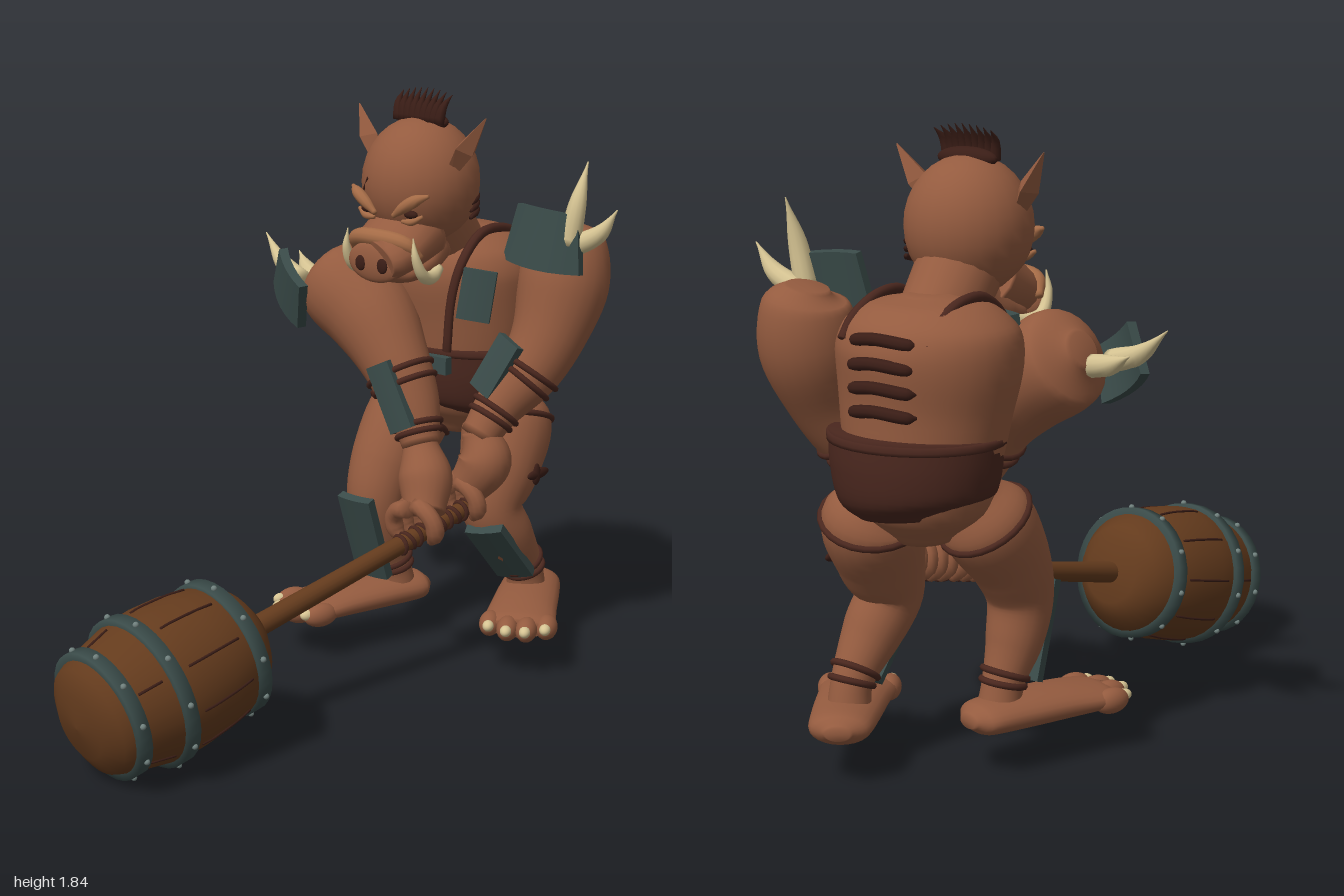
import * as THREE from 'three';

const mat = (name, color) => Object.assign(new THREE.MeshStandardMaterial({ color }), { name });
const M = {
  skin: mat('skin', 0x945b3f), tan: mat('pale skin', 0xa46b46), leather: mat('leather', 0x4a271e),
  dark: mat('scar dark', 0x3a1d16), metal: mat('dull metal', 0x3a4b49), rivet: mat('rivet metal', 0x6f7f7c),
  wood: mat('wood', 0x643b1d), ivory: mat('ivory', 0xd6c493),
};
const V = (x, y, z) => new THREE.Vector3(x, y, z);

// Swept form: points are [x, y, z, sideRadius, otherRadius], splined along their length
function sweep(pts, sides = 20, steps = 24) {
  const curve = new THREE.CatmullRomCurve3(pts.map(p => V(p[0], p[1], p[2])));
  const radius = k => new THREE.SplineCurve(pts.map((p, i) => new THREE.Vector2(i, p[k] ?? p[3])));
  const ra = radius(3), rb = radius(4);
  const span = curve.getPoint(1).sub(curve.getPoint(0)).normalize();
  const ref = Math.abs(span.x) > 0.9 ? V(0, 1, 0) : V(1, 0, 0);
  const at = t => ({ p: curve.getPoint(t), T: curve.getTangent(t), a: Math.max(0.001, ra.getPoint(t).y), b: Math.max(0.001, rb.getPoint(t).y) });
  const pos = [], idx = [];
  for (let i = 0; i <= steps; i++) {
    const { p, T, a, b } = at(i / steps);
    const N = ref.clone().addScaledVector(T, -ref.dot(T)).normalize(), B = T.clone().cross(N);
    for (let j = 0; j < sides; j++) {
      const ang = j / sides * Math.PI * 2;
      pos.push(...p.clone().addScaledVector(N, a * Math.cos(ang)).addScaledVector(B, b * Math.sin(ang)).toArray());
      if (i < steps) {
        const q = i * sides + j, r = i * sides + (j + 1) % sides;
        idx.push(q, r, q + sides, r, r + sides, q + sides);
      }
    }
  }
  const start = pos.length / 3;
  pos.push(...curve.getPoint(0).toArray(), ...curve.getPoint(1).toArray());
  for (let j = 0; j < sides; j++) {
    const k = (j + 1) % sides, e = steps * sides;
    idx.push(start, k, j, start + 1, e + j, e + k);
  }
  const g = new THREE.BufferGeometry();
  g.setAttribute('position', new THREE.Float32BufferAttribute(pos, 3));
  g.setIndex(idx);
  g.computeVertexNormals();
  g.userData.at = at;
  return g;
}

export function createModel() {
  const root = new THREE.Group();
  const add = (name, geo, material, parent = root) => {
    const m = new THREE.Mesh(geo, material);
    m.name = name;
    parent.add(m);
    return m;
  };
  const limb = (name, pts, material = M.skin, parent = root, sides, steps) => add(name, sweep(pts, sides, steps), material, parent);
  const ball = (name, p, s, material, parent = root) => {
    const m = add(name, new THREE.SphereGeometry(1, 24, 16), material, parent);
    m.position.set(...p);
    m.scale.set(...s);
    return m;
  };
  // Leather band around a limb at parameter t
  const band = (name, on, t, tube = 0.01) => {
    const { p, T, a } = on.geometry.userData.at(t);
    const m = add(name, new THREE.TorusGeometry(a + 0.001, tube, 8, 24), M.leather);
    m.position.copy(p);
    m.quaternion.setFromUnitVectors(V(0, 0, 1), T);
  };
  // Armour plate bent around its upright axis, narrowing towards the top by taper
  const plate = (name, p, normal, up, w, h, bend = 1.5, taper = 0, d = 0.03) => {
    const g = new THREE.BoxGeometry(w, h, d, 6, 1, 1), a = g.attributes.position;
    for (let i = 0; i < a.count; i++) {
      const x = a.getX(i) * (1 - taper * a.getY(i) / h);
      a.setXYZ(i, x, a.getY(i) + (a.getY(i) < 0 ? taper * 2 * x * x : 0), a.getZ(i) - bend * x * x);
    }
    g.computeVertexNormals();
    const m = add(name, g, M.metal), n = V(...normal).normalize();
    const x = V(...up).cross(n).normalize(), y = n.clone().cross(x);
    m.quaternion.setFromRotationMatrix(new THREE.Matrix4().makeBasis(x, y, n));
    m.position.set(...p);
  };

  // Torso, belt and straps
  limb('torso', [[.02, .71, -.74, .08, .08], [.02, .8, -.745, .19, .16], [.02, .95, -.745, .23, .2], [.015, 1.1, -.735, .255, .217],
    [.005, 1.24, -.73, .272, .237], [.005, 1.32, -.73, .25, .215], [.005, 1.375, -.73, .175, .15], [.005, 1.4, -.73, .06, .05]], M.skin, root, 32, 36);
  limb('belt', [[.03, .79, -.765, .17, .15], [.035, .84, -.765, .228, .2], [.035, .92, -.76, .25, .218], [.035, 1.02, -.755, .255, .22]], M.leather, root, 32, 16);
  limb('beltRim', [[.035, .995, -.755, .262, .225], [.035, 1.02, -.755, .262, .225]], M.leather, root, 32, 2);
  plate('buckle', [.08, .975, -.522], [0, 0, 1], [0, 1, 0], .11, .055, 0);
  for (const s of [-1, 1]) {
    const x = k => .02 + s * k;
    limb('shoulderStrap', [[x(.1), 1.02, -.53, .016, .012], [x(.12), 1.2, -.525, .016, .012], [x(.14), 1.31, -.55, .016, .014],
      [x(.14), 1.385, -.64, .016, .016], [x(.14), 1.39, -.75, .016, .016], [x(.14), 1.34, -.87, .016, .014], [x(.14), 1.29, -.92, .014, .01]], M.leather, root, 8);
  }
  plate('chestPlate', [.215, 1.21, -.555], [.5, .1, .85], [.15, 1, 0], .105, .16);
  plate('chestPlate', [-.11, 1.27, -.515], [-.4, .1, .9], [0, 1, 0], .1, .12);
  [1.1, 1.165, 1.23, 1.295].forEach((y, i) => limb('backScar', [[-.1, y, -.935, .004], [-.08, y, -.95, .017],
    [.02, y + .01, -.968, .018], [.1, y, -.95, .017], [.12, y, -.935, .004]].map(p => [p[0], p[1], p[2] + (i === 3 ? .012 : 0), p[3]]), M.dark, root, 8));

  // Neck and head
  limb('neck', [[.02, 1.24, -.76, .1], [.025, 1.32, -.665, .115], [.035, 1.47, -.52, .125]]);
  ball('head', [.035, 1.56, -.495], [.185, .2, .185], M.skin);
  limb('muzzle', [[.035, 1.42, -.46, .13, .11], [.03, 1.37, -.36, .13, .085], [.025, 1.345, -.31, .118, .072], [.02, 1.34, -.295, .1, .06]]);
  limb('jaw', [[.035, 1.37, -.52, .1, .08], [.03, 1.32, -.44, .115, .06], [.03, 1.3, -.36, .1, .045], [.03, 1.3, -.33, .05, .02]]);
  ball('snout', [.022, 1.33, -.293], [.105, .064, .022], M.skin);
  limb('snoutRidge', [[-.105, 1.35, -.35, .012], [-.075, 1.392, -.318, .024], [.025, 1.405, -.302, .028], [.125, 1.392, -.318, .024], [.155, 1.35, -.35, .012]], M.tan, root, 12);
  for (const s of [-1, 1]) {
    const x = k => .033 + s * k;
    ball('nostril', [.022 + s * .043, 1.325, -.274], [.02, .024, .008], M.dark);
    ball('eye', [x(.085), 1.482, -.345], [.025, .013, .014], M.dark);
    limb('eyelid', [[x(.055), 1.458, -.34, .006], [x(.09), 1.46, -.342, .012], [x(.125), 1.478, -.352, .006]], M.tan, root, 8, 10);
    limb('eyebrow', [[x(.035), 1.475, -.32, .008], [x(.075), 1.505, -.322, .018], [x(.115), 1.53, -.33, .018], [x(.15), 1.545, -.35, .006]], M.tan, root, 10);
    limb('tusk', [[x(.105), 1.3, -.46, .016], [x(.126), 1.285, -.4, .021], [x(.14), 1.3, -.34, .019], [x(.138), 1.36, -.305, .013], [x(.13), 1.42, -.302, .002]], M.ivory, root, 10);
    const ear = sweep([[x(.13), 1.58, -.46, .016, .02], [x(.19), 1.675, -.475, .032, .05], [x(.25), 1.775, -.495, .002, .003]], 4, 2).toNonIndexed();
    ear.computeVertexNormals();
    add('ear', ear, M.skin);
  }
  for (let i = 0; i < 3; i++) limb('headScar', [[.2, 1.455 + i * .022, -.535, .006], [.195, 1.467 + i * .022, -.57, .01], [.175, 1.475 + i * .022, -.605, .006]], M.dark, root, 6, 6);
  limb('browScar', [[-.075, 1.53, -.35, .006], [-.04, 1.58, -.332, .006]], M.dark, root, 6, 4);
  // Crest of bristles
  ball('crestBase', [.038, 1.748, -.495], [.1, .032, .032], M.dark);
  for (let i = 0; i < 9; i++) {
    const u = (i - 4) / 4;
    limb('bristle', [[.038 + u * .08, 1.745, -.475, .018], [.038 + u * .088, 1.795, -.485, .013], [.038 + u * .096, 1.845 - .015 * u * u, -.52, .001]], M.dark, root, 6, 6);
  }

  // Arms
  const rightArm = limb('rightArm', [[-.33, 1.24, -.47, .05], [-.27, 1.21, -.46, .145], [-.13, 1.12, -.45, .145], [-.01, .99, -.43, .112],
    [.07, .86, -.42, .09], [.13, .74, -.4, .062]], M.skin, root, 24, 36);
  const leftArm = limb('leftArm', [[.35, 1.405, -.825, .06], [.36, 1.36, -.825, .122], [.367, 1.23, -.8, .145], [.36, 1.07, -.735, .117],
    [.33, .96, -.675, .1], [.28, .86, -.6, .078], [.25, .76, -.53, .06]], M.skin, root, 24, 36);
  [.66, .71, .9, .94].forEach(t => band('rightArmBand', rightArm, t));
  [.66, .7, .86, .9].forEach(t => band('leftArmBand', leftArm, t));
  plate('rightBracer', [.06, .9, -.328], [.1, .02, 1], [-.45, .9, 0], .085, .22);
  plate('leftBracer', [.28, .99, -.575], [-.1, .3, .9], [.4, .9, -.2], .095, .19);
  plate('rightPauldron', [-.382, 1.185, -.335], [-.45, -.1, .88], [.46, .88, .3], .2, .17, 1.5, .2);
  plate('leftPauldron', [.372, 1.39, -.67], [.1, .15, 1], [.08, 1, 0], .245, .19, 2, .25);
  const spike = (a, m, b) => limb('shoulderSpike', [[...a, .034], [...m, .027], [...b, .002]], M.ivory, root, 12, 12);
  spike([.45, 1.38, -.71], [.47, 1.51, -.72], [.48, 1.635, -.755]);
  spike([.45, 1.37, -.735], [.54, 1.42, -.74], [.6, 1.5, -.745]);
  spike([-.38, 1.2, -.4], [-.49, 1.235, -.435], [-.6, 1.315, -.475]);
  spike([-.35, 1.19, -.45], [-.44, 1.21, -.5], [-.53, 1.25, -.56]);

  // Hands gripping the shaft
  const axis = V(-.14, -.227, 1).normalize(), hub = V(.06, .262, .68);
  const side = V(0, 1, 0).cross(axis).normalize(), above = axis.clone().cross(side);
  const hand = (name, wrist, palm, z) => {
    const g = new THREE.Group();
    g.name = name;
    root.add(g);
    const grip = hub.clone().addScaledVector(axis, (z - hub.z) / axis.z);
    const top = grip.clone().addScaledVector(above, .06);
    limb('palm', [[...wrist, .055], [...palm, .085], [...top.toArray(), .065]], M.skin, g);
    for (let i = 0; i < 5; i++) {
      const dir = i < 4 ? -1 : 1, along = i < 4 ? (i - 1.5) * .044 : .03;
      limb(i < 4 ? 'finger' : 'thumb', [0, .6, 1.25, 1.9, 2.5].map((a, k) => [...grip.clone().addScaledVector(axis, along)
        .addScaledVector(above, Math.cos(a) * .065 + .035).addScaledVector(side, dir * Math.sin(a) * .075).toArray(), k === 4 ? .014 : .028]), M.skin, g, 10, 12);
    }
  };
  hand('rightHand', [.12, .75, -.4], [.165, .65, -.375], -.34);
  hand('leftHand', [.25, .78, -.54], [.275, .69, -.535], -.52);

  // Legs with shin guards
  const leftLeg = limb('leftLeg', [[.15, .83, -.785, .08], [.18, .76, -.775, .143], [.21, .62, -.7, .13], [.22, .5, -.65, .1],
    [.24, .4, -.7, .09], [.25, .27, -.79, .062], [.25, .18, -.81, .065]], M.skin, root, 24, 36);
  const rightLeg = limb('rightLeg', [[-.085, .84, -.68, .08], [-.105, .76, -.63, .135], [-.12, .62, -.53, .118], [-.12, .5, -.48, .098],
    [-.115, .38, -.5, .085], [-.105, .26, -.545, .062], [-.1, .18, -.56, .065]], M.skin, root, 24, 36);
  for (const leg of [leftLeg, rightLeg]) [.17, .8, .84].forEach(t => band('legBand', leg, t));
  plate('rightShinGuard', [-.11, .385, -.405], [0, -.33, .95], [0, .95, .33], .13, .3);
  plate('leftShinGuard', [.26, .355, -.645], [.25, -.65, .72], [0, .7, .7], .13, .26);
  ball('thighScar', [.338, .615, -.735], [.012, .018, .055], M.dark);
  ball('thighScar', [.338, .615, -.725], [.012, .036, .018], M.dark);

  // Feet with toes and nails
  const foot = (name, x, z, turn) => {
    const g = new THREE.Group();
    g.name = name;
    g.position.set(x, 0, z);
    g.rotation.y = turn;
    root.add(g);
    limb('sole', [[0, .17, -.04, .035, .02], [0, .172, 0, .086, .046], [0, .173, .12, .1, .052], [0, .17, .28, .108, .05],
      [0, .163, .41, .115, .04], [0, .16, .45, .09, .03]], M.skin, g, 24);
    for (let i = 0; i < 4; i++) {
      const u = (i - 1.5) * .06, end = .5 - 5 * u * u;
      ball('toe', [u, .16, end - .045], [.035, .038, .06], M.skin, g);
      ball('toenail', [u, .168, end + .004], [.018, .018, .024], M.ivory, g);
    }
  };
  foot('leftFoot', .19, -.93, .52);
  foot('rightFoot', -.085, -.64, -.33);

  // Barrel hammer, built upright along its own axis
  const hammer = new THREE.Group();
  hammer.name = 'barrelHammer';
  hammer.position.copy(hub);
  hammer.quaternion.setFromUnitVectors(V(0, 1, 0), axis);
  root.add(hammer);
  const profile = [[0, -.318], [.1, -.314], [.15, -.28], [.195, -.22], [.218, -.1], [.225, 0], [.22, .09], [.185, .23], [.165, .275], [.1, .31], [0, .32]];
  add('barrel', new THREE.LatheGeometry(profile.map(p => new THREE.Vector2(...p)), 32), M.wood, hammer);
  for (const [r, y] of [[.203, -.205], [.225, .08], [.19, .225]]) {
    const hoop = new THREE.LatheGeometry([[r - .02, -.021], [r + .01, -.021], [r + .01, .021], [r - .02, .021]].map(p => new THREE.Vector2(...p)), 32);
    add('hoop', hoop.toNonIndexed(), M.metal, hammer).position.y = y;
    for (let i = 0; i < 10; i++) {
      const a = i / 10 * Math.PI * 2;
      ball('rivet', [Math.cos(a) * (r + .011), y, Math.sin(a) * (r + .011)], [.009, .009, .009], M.rivet, hammer);
    }
  }
  for (let i = 0; i < 10; i++) {
    const a = i / 10 * Math.PI * 2 + .2, at = (r, y) => [Math.cos(a) * r, y, Math.sin(a) * r, .004];
    limb('plankGap', [at(.208, -.16), at(.218, -.1), at(.225, 0), at(.223, .03)], M.dark, hammer, 6, 8);
    if (i % 2) limb('plankGap', [at(.213, .12), at(.194, .195)], M.dark, hammer, 6, 3);
  }
  add('shaft', new THREE.CylinderGeometry(.034, .026, .99, 16), M.wood, hammer).position.y = -.8;
  for (let i = 0; i < 11; i++) {
    const wrap = add('gripWrap', new THREE.TorusGeometry(.028, .008, 6, 16), M.leather, hammer);
    wrap.rotation.set(Math.PI / 2 + (i % 2 ? .25 : -.1), 0, 0);
    wrap.position.y = -.94 - i * .033;
  }
  return root;
}
